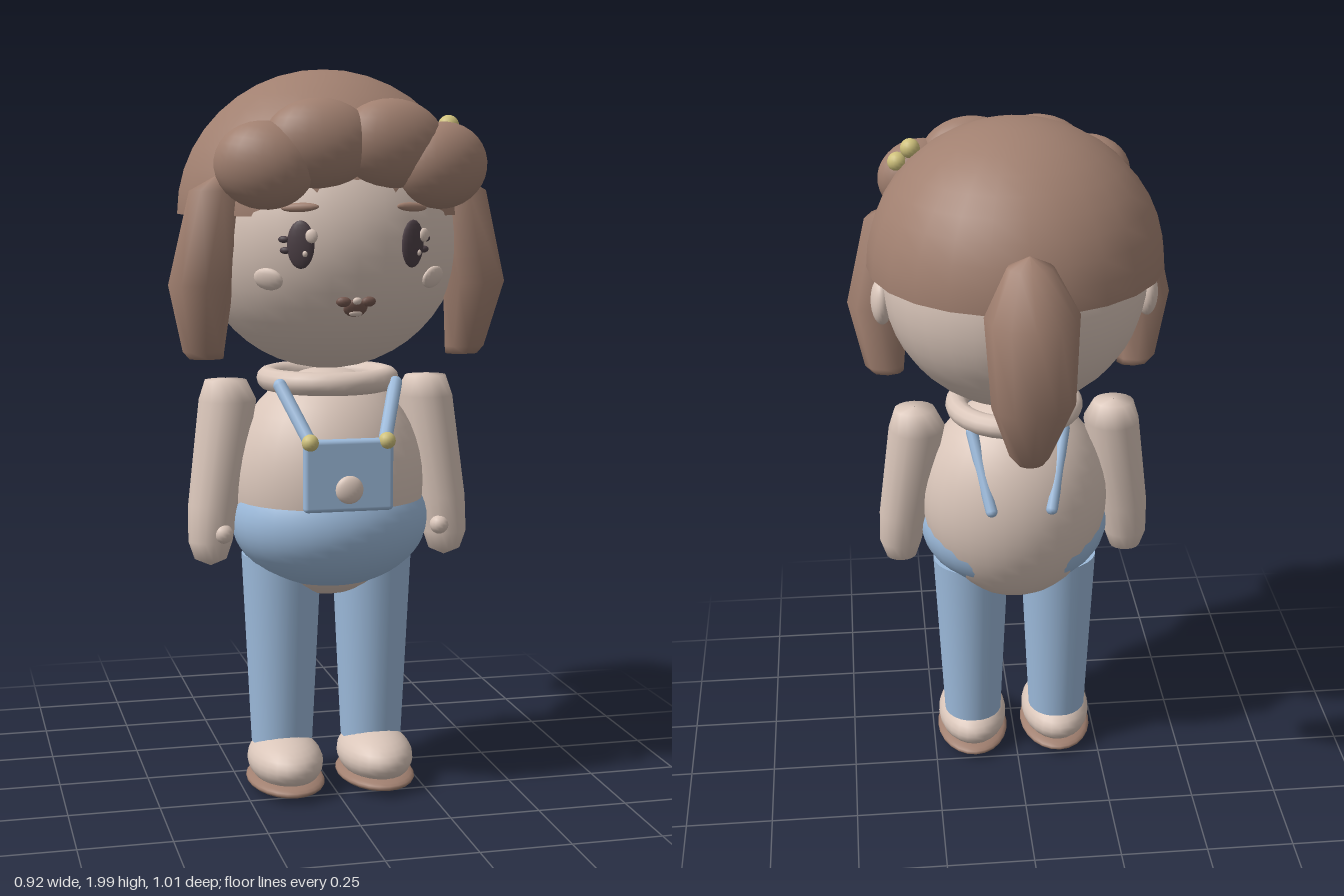
import * as THREE from 'three';
import { RoundedBoxGeometry } from 'three/addons/geometries/RoundedBoxGeometry.js';

const mat = (name, color, side = THREE.FrontSide) => {
  const m = new THREE.MeshStandardMaterial({ color, side });
  m.name = name;
  return m;
};

export function createModel() {
  const root = new THREE.Group();
  root.name = 'girlInDungarees';
  const skin = mat('skin', 0xdac6ba);
  const hair = mat('brownHair', 0xa18070, THREE.DoubleSide);
  const denim = mat('denimBlue', 0x9dbbdc, THREE.DoubleSide);
  const gold = mat('gold', 0xcfc17c);
  const dark = mat('darkEye', 0x4d4046);
  const lip = mat('mouthBrown', 0x75584f);

  const add = (name, geo, material, pos = [0, 0, 0], rot = [0, 0, 0]) => {
    const m = new THREE.Mesh(geo, material);
    m.name = name;
    m.position.set(...pos);
    m.rotation.set(...rot);
    root.add(m);
    return m;
  };
  const ball = (name, material, pos, radii, rot, w = 24, h = 16) =>
    add(name, new THREE.SphereGeometry(1, w, h).scale(...radii), material, pos, rot);

  // Rod with round ends between two points
  const rod = (name, material, a, b, r) => {
    const A = new THREE.Vector3(...a), B = new THREE.Vector3(...b);
    const d = B.clone().sub(A);
    const m = add(name, new THREE.CapsuleGeometry(r, d.length(), 4, 10), material);
    m.position.copy(A).add(B).multiplyScalar(0.5);
    m.quaternion.setFromUnitVectors(new THREE.Vector3(0, 1, 0), d.normalize());
  };

  // Loft through elliptical sections [x, y, z, rx, rz], from top to bottom
  const loft = (name, material, sections, sides) => {
    const pos = [], idx = [];
    sections.forEach(([x, y, z, rx, rz]) => {
      for (let i = 0; i < sides; i++) {
        const a = (i / sides) * Math.PI * 2;
        pos.push(x + rx * Math.cos(a), y, z + rz * Math.sin(a));
      }
    });
    for (let s = 0; s < sections.length - 1; s++) {
      for (let i = 0; i < sides; i++) {
        const j = (i + 1) % sides, u = s * sides, d = u + sides;
        idx.push(u + i, u + j, d + i, u + j, d + j, d + i);
      }
    }
    const g = new THREE.BufferGeometry();
    g.setAttribute('position', new THREE.Float32BufferAttribute(pos, 3));
    g.setIndex(idx);
    g.computeVertexNormals();
    return add(name, g, material);
  };

  // Head and cap of hair
  const HC = new THREE.Vector3(0, 1.555, 0.107), HR = 0.367;
  ball('head', skin, HC.toArray(), [HR, HR, HR], [0, 0, 0], 32, 24);
  add('hairCap', new THREE.SphereGeometry(1, 24, 10, 0, Math.PI * 2, 0, Math.PI / 2)
    .scale(0.405, 0.39, 0.395), hair, [0, 1.61, 0.06]);

  // Thin details laid on the face
  const onFace = (name, material, x, y, rx, ry, rz, lift = 0) => {
    const dy = y - HC.y;
    const n = new THREE.Vector3(x, dy, Math.sqrt(HR * HR - x * x - dy * dy)).normalize();
    const m = ball(name, material, [0, 0, 0], [rx, ry, rz], [0, 0, 0], 14, 10);
    m.position.copy(HC).addScaledVector(n, HR + lift);
    m.quaternion.setFromUnitVectors(new THREE.Vector3(0, 0, 1), n);
    return m;
  };
  for (const s of [1, -1]) {
    onFace('eye', dark, s * 0.148, 1.54, 0.036, 0.062, 0.012);
    onFace('eyeHighlight', skin, s * 0.148 + 0.027, 1.562, 0.016, 0.018, 0.008, 0.01);
    onFace('eyeHighlight', skin, s * 0.148 + 0.012, 1.518, 0.007, 0.008, 0.006, 0.01);
    onFace('eyelash', dark, s * 0.188, 1.553, 0.015, 0.009, 0.009);
    onFace('eyelash', dark, s * 0.184, 1.525, 0.015, 0.009, 0.009);
    onFace('eyebrow', hair, s * 0.148, 1.634, 0.05, 0.012, 0.01);
    onFace('cheek', skin, s * 0.22, 1.45, 0.042, 0.03, 0.014);
    onFace('mouthCorner', lip, s * 0.033, 1.392, 0.02, 0.014, 0.012);
  }
  onFace('mouth', lip, 0, 1.375, 0.032, 0.026, 0.012);
  onFace('upperLip', skin, 0, 1.398, 0.012, 0.01, 0.008, 0.008);
  onFace('tongue', skin, 0, 1.366, 0.018, 0.009, 0.006, 0.009);

  // Fringe, side locks and ears
  for (const s of [1, -1]) {
    ball('innerFringe', hair, [s * 0.095, 1.795, 0.42], [0.145, 0.115, 0.085], [0, s * 0.1, 0]);
    ball('outerFringe', hair, [s * 0.235, 1.74, 0.41], [0.13, 0.112, 0.088], [0, s * 0.3, s * 0.12]);
    ball('ear', skin, [s * 0.367, 1.5, 0.08], [0.03, 0.066, 0.05]);
    loft('sideLock', hair, [
      [s * 0.33, 1.715, 0.26, 0.001, 0.001],
      [s * 0.33, 1.675, 0.26, 0.075, 0.082],
      [s * 0.375, 1.43, 0.255, 0.087, 0.09],
      [s * 0.363, 1.25, 0.215, 0.056, 0.04],
      [s * 0.355, 1.23, 0.215, 0.046, 0.032],
      [s * 0.355, 1.23, 0.215, 0.001, 0.001],
    ], 8);
  }

  // Ponytail
  loft('ponytail', hair, [
    [0, 1.765, -0.315, 0.001, 0.001],
    [0, 1.74, -0.325, 0.06, 0.045],
    [0, 1.63, -0.375, 0.122, 0.113],
    [0, 1.4, -0.417, 0.108, 0.084],
    [0, 1.22, -0.335, 0.055, 0.045],
    [0, 1.2, -0.345, 0.035, 0.028],
    [0, 1.2, -0.345, 0.001, 0.001],
  ], 12);

  // Beaded hair clip
  for (const [x, y] of [[0.22, 1.8], [0.268, 1.843], [0.305, 1.805]])
    ball('clipBead', gold, [x, y, 0.355], [0.028, 0.028, 0.028], [0, 0, 0], 16, 12);

  // Torso, collar and shorts
  ball('torso', skin, [0, 0.87, 0.11], [0.27, 0.32, 0.24], [0, 0, 0], 32, 24);
  add('collar', new THREE.TorusGeometry(0.165, 0.032, 12, 28).rotateX(Math.PI / 2), skin, [0, 1.16, 0.115]);
  add('shorts', new THREE.SphereGeometry(1, 32, 16, 0, Math.PI * 2, 1.25, Math.PI - 1.25)
    .scale(0.275, 0.19, 0.24), denim, [0, 0.77, 0.135]);

  // Bib with its pocket button
  add('bib', new RoundedBoxGeometry(0.245, 0.195, 0.032, 3, 0.012), denim, [0, 0.925, 0.354]);
  ball('bibButton', skin, [0, 0.888, 0.37], [0.038, 0.038, 0.018]);

  for (const s of [1, -1]) {
    // Straps and buckles
    rod('frontStrap', denim, [s * 0.105, 1.02, 0.345], [s * 0.16, 1.155, 0.24], 0.019);
    rod('backStrap', denim, [s * 0.13, 1.13, 0], [s * 0.085, 0.935, -0.115], 0.017);
    ball('buckle', gold, [s * 0.105, 1.016, 0.362], [0.023, 0.023, 0.023], [0, 0, 0], 16, 12);

    // Arm and thumb
    loft('arm', skin, [
      [s * 0.285, 1.165, 0.105, 0.001, 0.001],
      [s * 0.285, 1.16, 0.105, 0.058, 0.05],
      [s * 0.28, 1.105, 0.105, 0.08, 0.09],
      [s * 0.325, 0.82, 0.125, 0.07, 0.07],
      [s * 0.335, 0.72, 0.135, 0.062, 0.058],
      [s * 0.335, 0.67, 0.135, 0.045, 0.042],
      [s * 0.335, 0.65, 0.135, 0.001, 0.001],
    ], 16);
    ball('thumb', skin, [s * 0.307, 0.745, 0.18], [0.027, 0.027, 0.027], [0, 0, 0], 14, 10);

    // Leg and shoe
    add('trouserLeg', new THREE.CylinderGeometry(0.112, 0.086, 0.54, 24), denim, [s * 0.13, 0.4, 0.105]);
    ball('shoe', skin, [s * 0.13, 0.088, 0.148], [0.104, 0.074, 0.16]);
    ball('sole', hair, [s * 0.13, 0.033, 0.15], [0.108, 0.027, 0.168]);
  }
  return root;
}
